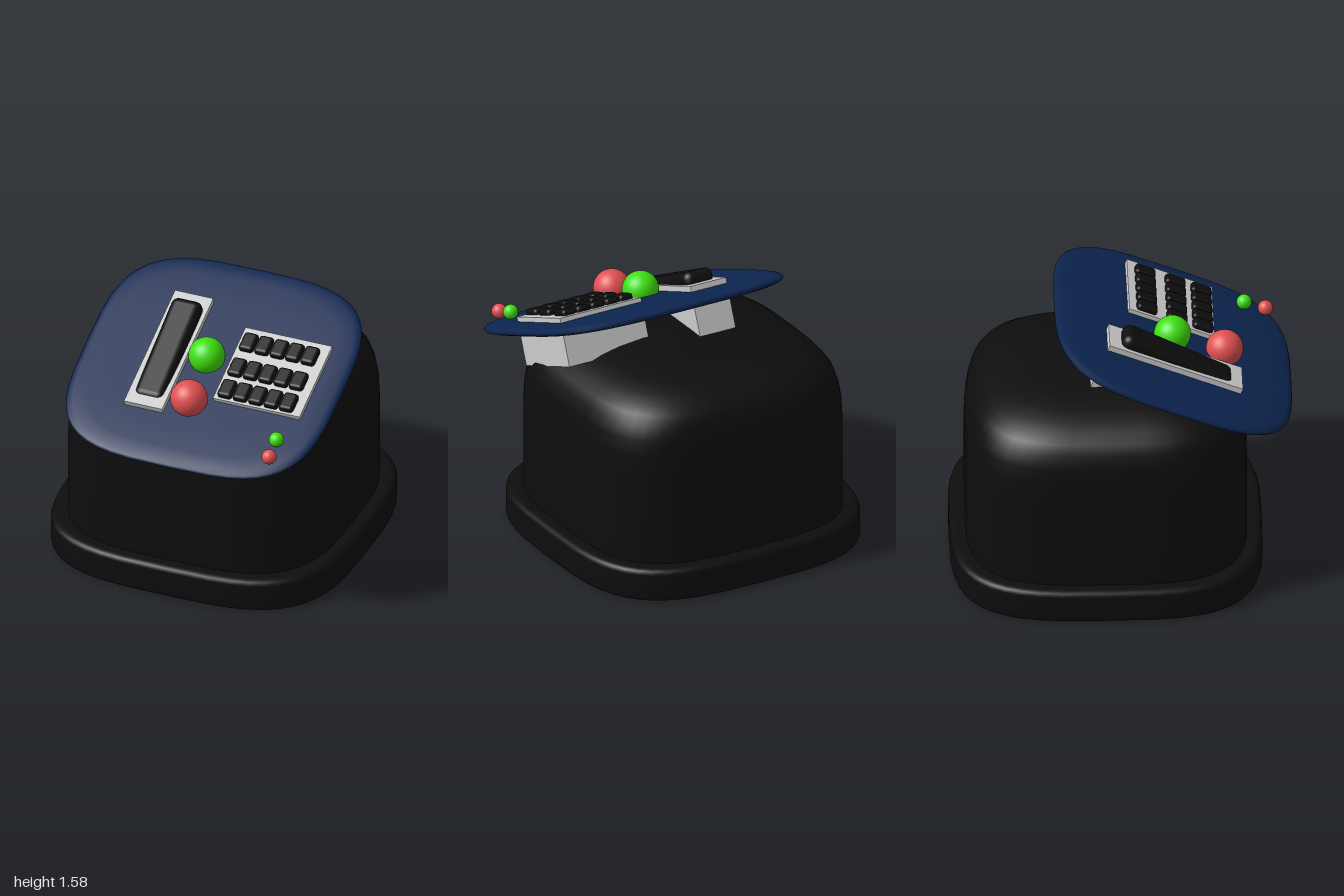
import * as THREE from 'three';
import { RoundedBoxGeometry } from 'three/addons/geometries/RoundedBoxGeometry.js';

const material = (name, color) => {
  const m = new THREE.MeshStandardMaterial({ color });
  m.name = name;
  return m;
};

// Stacks rounded-square rings [inset from full size, y] into a closed solid.
function rounded(hx, hz, exponent, rings, n = 48) {
  const pos = [], index = [];
  const power = (v) => Math.sign(v) * Math.abs(v) ** (2 / exponent);
  for (const [inset, y] of rings) {
    for (let i = 0; i < n; i++) {
      const a = (i / n) * Math.PI * 2;
      pos.push(power(Math.cos(a)) * Math.max(0, hx - inset), y, power(Math.sin(a)) * Math.max(0, hz - inset));
    }
  }
  for (let j = 0; j < rings.length - 1; j++) {
    for (let i = 0; i < n; i++) {
      const a = j * n + i, b = j * n + (i + 1) % n;
      index.push(a, a + n, b, b, a + n, b + n);
    }
  }
  const g = new THREE.BufferGeometry();
  g.setAttribute('position', new THREE.Float32BufferAttribute(pos, 3));
  g.setIndex(index);
  g.computeVertexNormals();
  return g;
}

export function createModel() {
  const black = material('black', 0x0d0d0d);
  const navy = material('navy', 0x0c2550);
  const grey = material('light grey', 0xcccccc);
  const green = material('green', 0x3fe00f);
  const red = material('red', 0xe05050);

  const model = new THREE.Group();
  model.name = 'console';
  const add = (parent, name, geometry, mat, x, y, z) => {
    const mesh = new THREE.Mesh(geometry, mat);
    mesh.name = name;
    mesh.position.set(x, y, z);
    parent.add(mesh);
    return mesh;
  };

  // Foot and domed pedestal
  add(model, 'foot', rounded(0.91, 0.91, 3.4, [
    [1, 0], [0.04, 0], [0.025, 0], [0.007, 0.008], [0, 0.03],
    [0, 0.17], [0.007, 0.192], [0.025, 0.2], [0.04, 0.2], [1, 0.2],
  ]), black, 0, 0, -0.09);
  add(model, 'pedestal', rounded(0.82, 0.82, 3.4, [
    [0, 0.15], [0, 0.75], [0.006, 0.88], [0.02, 0.97], [0.045, 1.05], [0.085, 1.105],
    [0.14, 1.145], [0.21, 1.18], [0.3, 1.205], [0.42, 1.225], [0.58, 1.237], [1, 1.24],
  ]), black, 0, 0, -0.09);

  // Tilted control panel
  const panel = new THREE.Group();
  panel.name = 'controlPanel';
  panel.position.set(0, 1.29, 0.305);
  panel.rotation.x = 0.385;
  model.add(panel);
  add(panel, 'panelPlate', rounded(0.8, 0.745, 3.5, [
    [1, -0.035], [0.3, -0.034], [0.12, -0.031], [0.04, -0.025], [0.01, -0.014], [0, 0],
    [0.01, 0.014], [0.04, 0.025], [0.12, 0.031], [0.3, 0.034], [1, 0.035],
  ]), navy, 0.1, 0, 0);

  // Deep blocks that carry the handset and the keys
  add(panel, 'handsetBlock', new THREE.BoxGeometry(0.24, 0.3, 0.835), grey, -0.18, -0.082, -0.016);
  add(panel, 'keypadBlock', new THREE.BoxGeometry(0.545, 0.29, 0.533), grey, 0.47, -0.085, -0.024);

  // Handset, raised slightly at the back
  const handset = add(panel, 'handset', new RoundedBoxGeometry(0.19, 0.1, 0.7, 4, 0.045), black, -0.177, 0.062, -0.01);
  handset.rotation.x = 0.09;

  // Keys
  const keyGeometry = new RoundedBoxGeometry(0.088, 0.05, 0.124, 3, 0.02);
  for (const z of [-0.183, 0.005, 0.167]) {
    for (let i = 0; i < 5; i++) add(panel, 'key', keyGeometry, black, 0.262 + i * 0.0965, 0.07, z);
  }

  // Ball buttons and indicator lamps
  const ball = (name, mat, r, x, y, z) => add(model, name, new THREE.SphereGeometry(r, 32, 20), mat, x, y, z);
  ball('greenButton', green, 0.108, 0.055, 1.37, 0.303);
  ball('redButton', red, 0.109, 0.07, 1.256, 0.607);
  ball('greenLamp', green, 0.044, 0.675, 1.192, 0.738);
  ball('redLamp', red, 0.044, 0.68, 1.146, 0.862);

  return model;
}
